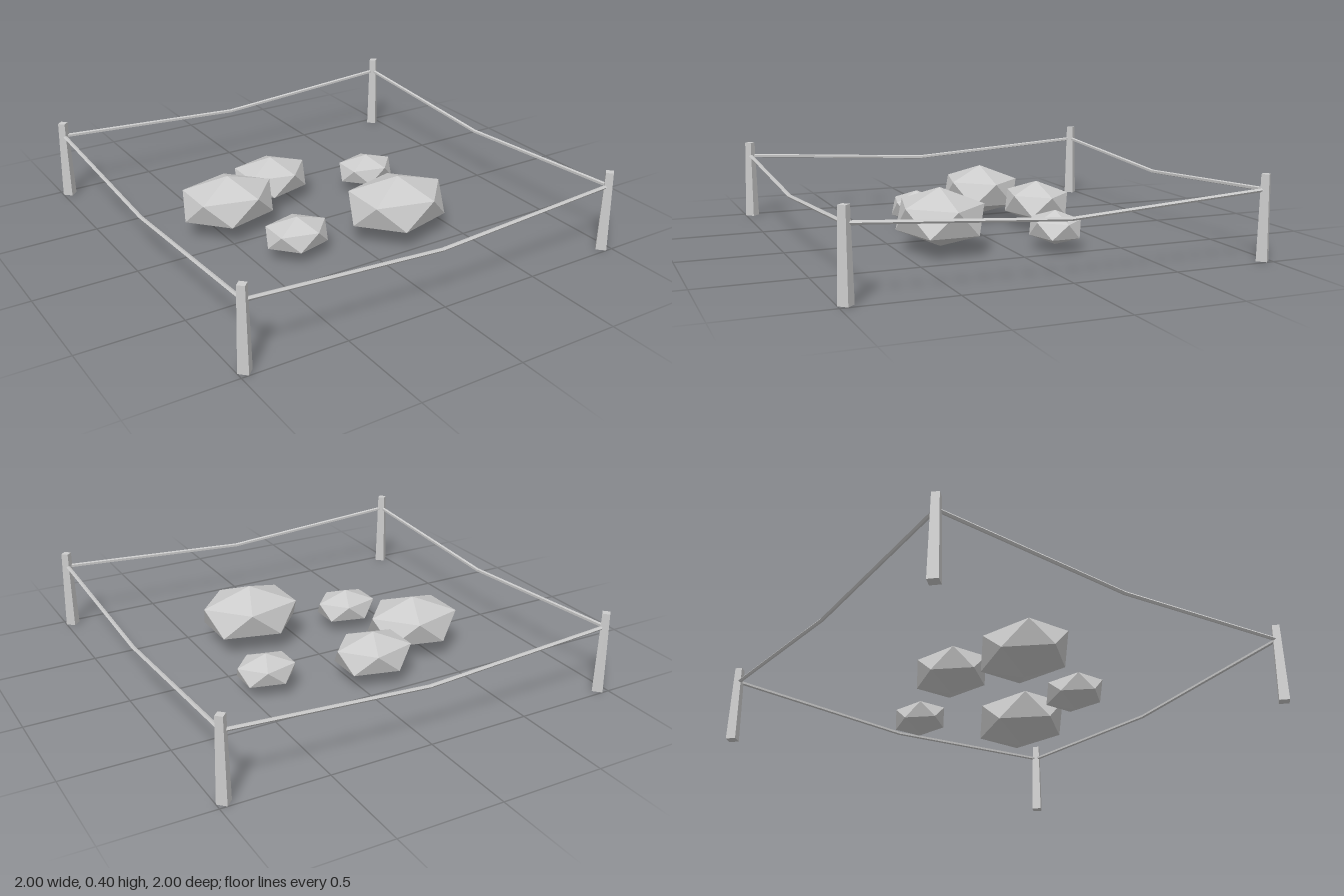
import * as THREE from 'three';

export function createModel() {
  const group = new THREE.Group();
  const material = new THREE.MeshStandardMaterial({ color: 0xcccccc, flatShading: true });
  const add = (name, geometry, x = 0, y = 0, z = 0) => {
    const mesh = new THREE.Mesh(geometry, material);
    mesh.name = name;
    mesh.position.set(x, y, z);
    group.add(mesh);
    return mesh;
  };

  // Tapered four-sided corner posts
  const half = 0.965, postHeight = 0.397;
  const postGeometry = new THREE.CylinderGeometry(0.025, 0.035, postHeight, 4);
  for (const sx of [-1, 1])
    for (const sz of [-1, 1])
      add('cornerPost', postGeometry, sx * half, postHeight / 2, sz * half);

  // Sagging rope between each pair of posts, bent once in the middle
  const end = 0.326, sag = 0.266;
  const path = new THREE.CurvePath();
  const left = new THREE.Vector3(-half, end, 0);
  const middle = new THREE.Vector3(0, sag, 0);
  const right = new THREE.Vector3(half, end, 0);
  path.add(new THREE.LineCurve3(left, middle));
  path.add(new THREE.LineCurve3(middle, right));
  const ropeGeometry = new THREE.TubeGeometry(path, 2, 0.0095, 5, false);
  for (let i = 0; i < 4; i++) {
    const a = (i * Math.PI) / 2;
    add('rope', ropeGeometry, Math.sin(a) * half, 0, Math.cos(a) * half).rotation.y = a;
  }

  // Flattened boulders: icosahedra standing on a corner, one upper-ring corner towards +x
  const rockGeometry = new THREE.IcosahedronGeometry(1, 0);
  rockGeometry.rotateX(-Math.atan2((1 + Math.sqrt(5)) / 2, 1));
  rockGeometry.rotateY(Math.PI / 2);
  const rocks = [ // x, z, radius
    [0.23, 0.312, 0.28],
    [-0.443, -0.16, 0.26],
    [-0.105, -0.337, 0.216],
    [0.397, -0.203, 0.164],
    [-0.296, 0.247, 0.174],
  ];
  for (const [x, z, r] of rocks)
    add('boulder', rockGeometry, x, 0.023 + r / 2, z).scale.set(r, r * 0.5, r * 0.81);

  return group;
}
